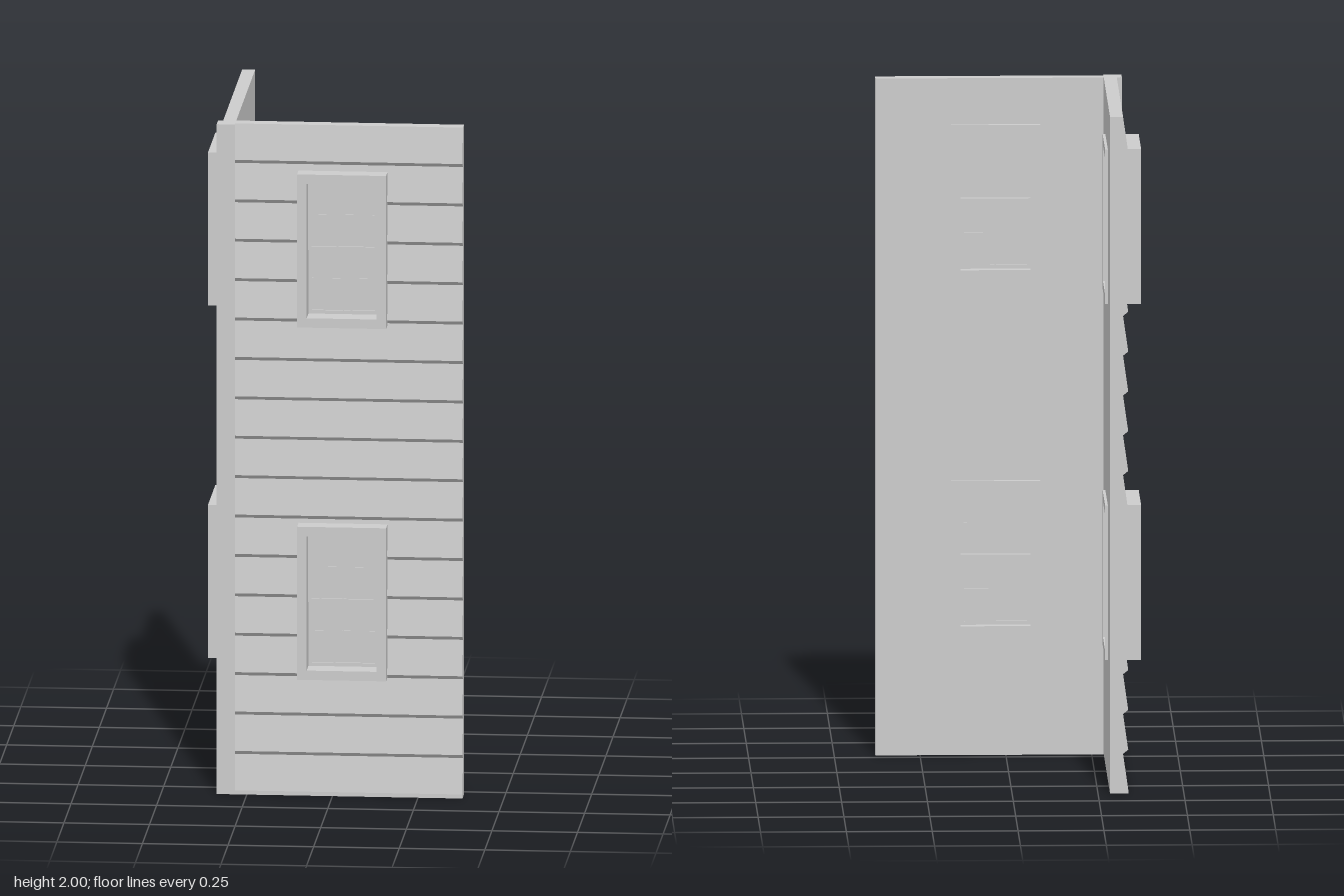
import * as THREE from 'three';

const grey = new THREE.MeshStandardMaterial({ color: 0xcccccc, flatShading: true });
const HEIGHT = 2, INNER = 0.285, OUTER = 0.338, LAP = 0.323;
const BOARDS = 17, BOARD = HEIGHT / BOARDS, LIP = 0.012;
const WINDOW_Y = [0.583, 1.635], WIN_W = 0.26, WIN_H = 0.457;

function mesh(name, geometry) {
  const m = new THREE.Mesh(geometry, grey);
  m.name = name;
  return m;
}

function box(name, x0, x1, y0, y1, z0, z1) {
  const g = new THREE.BoxGeometry(x1 - x0, y1 - y0, z1 - z0);
  g.translate((x0 + x1) / 2, (y0 + y1) / 2, (z0 + z1) / 2);
  return mesh(name, g);
}

// Outer face of the lapped boards at height y: thick at the foot, thin at the top
function faceAt(y) {
  const t = y - Math.floor(y / BOARD + 1e-6) * BOARD;
  if (t < LIP && y > LIP) return LAP + (OUTER - LAP) * t / LIP;
  return OUTER - (OUTER - LAP) * Math.max(0, t - LIP) / (BOARD - LIP);
}

// Piece of sided wall between u0..u1 and y0..y1, extruded from its saw-tooth section
function sidedPiece(u0, u1, y0, y1) {
  const ys = [y0];
  for (let i = 0; i < BOARDS; i++) {
    for (const y of [i * BOARD, i * BOARD + LIP]) if (y > y0 + 1e-4 && y < y1 - 1e-4) ys.push(y);
  }
  const s = new THREE.Shape();
  s.moveTo(INNER, y0);
  ys.forEach(y => s.lineTo(faceAt(y), y));
  s.lineTo(LAP, y1);
  s.lineTo(INNER, y1);
  const g = new THREE.ExtrudeGeometry(s, { depth: u1 - u0, bevelEnabled: false });
  g.rotateY(-Math.PI / 2);
  g.translate(u1, 0, 0);
  return mesh('siding', g);
}

// Rectangular ring in the xy plane, from z0 to z1
function ring(name, w, h, border, z0, z1) {
  const rect = (Type, a, b) => new Type([[-a, -b], [a, -b], [a, b], [-a, b]]
    .map(([x, y]) => new THREE.Vector2(x, y)));
  const s = rect(THREE.Shape, w / 2, h / 2);
  s.holes.push(rect(THREE.Path, w / 2 - border, h / 2 - border));
  const g = new THREE.ExtrudeGeometry(s, { depth: z1 - z0, bevelEnabled: false });
  g.translate(0, 0, z0);
  return mesh(name, g);
}

// Sash with a solid pane and fine crossed glazing bars
function sash(name, w, h, y, z0, z1) {
  const g = new THREE.Group();
  g.name = name;
  const zm = (z0 + z1) / 2;
  g.add(ring('sashFrame', w, h, 0.011, z0, z1));
  g.add(box('pane', -w / 2 + 0.005, w / 2 - 0.005, -h / 2 + 0.005, h / 2 - 0.005, zm - 0.002, zm + 0.002));
  g.add(box('verticalBar', -0.002, 0.002, -h / 2 + 0.01, h / 2 - 0.01, zm - 0.004, zm + 0.004));
  g.add(box('horizontalBar', -w / 2 + 0.01, w / 2 - 0.01, -0.002, 0.002, zm - 0.004, zm + 0.004));
  g.position.y = y;
  return g;
}

function sashWindow() {
  const g = new THREE.Group();
  g.name = 'window';
  g.add(ring('windowFrame', WIN_W, WIN_H, 0.028, 0.272, 0.377));
  g.add(sash('upperSash', 0.206, 0.208, 0.097, 0.314, 0.33));
  g.add(sash('lowerSash', 0.206, 0.208, -0.097, 0.298, 0.314));
  return g;
}

// Wall facing +z with a column of windows in openings h0..h1
function wall(name, u0, u1, h0, h1, windowX, windowZ) {
  const g = new THREE.Group();
  g.name = name;
  g.add(sidedPiece(u0, h0, 0, HEIGHT), sidedPiece(h1, u1, 0, HEIGHT));
  let from = 0;
  for (const y of WINDOW_Y) {
    g.add(sidedPiece(h0, h1, from, y - WIN_H / 2));
    from = y + WIN_H / 2;
    const w = sashWindow();
    w.position.set(windowX, y, windowZ);
    g.add(w);
  }
  g.add(sidedPiece(h0, h1, from, HEIGHT));
  return g;
}

export function createModel() {
  const model = new THREE.Group();
  model.name = 'houseCorner';

  model.add(wall('frontWall', -0.285, 0.38, -0.095, 0.155, 0.03, 0));

  // Side wall is turned to face -x; its openings run slightly past the frames
  const side = wall('sideWall', -0.38, 0.29, -0.16, 0.108, -0.0175, 0.005);
  side.rotation.y = -Math.PI / 2;
  model.add(side);

  // Corner post joining the two walls
  model.add(box('cornerPost', -OUTER, -INNER, 0, HEIGHT, 0.288, OUTER));
  return model;
}
